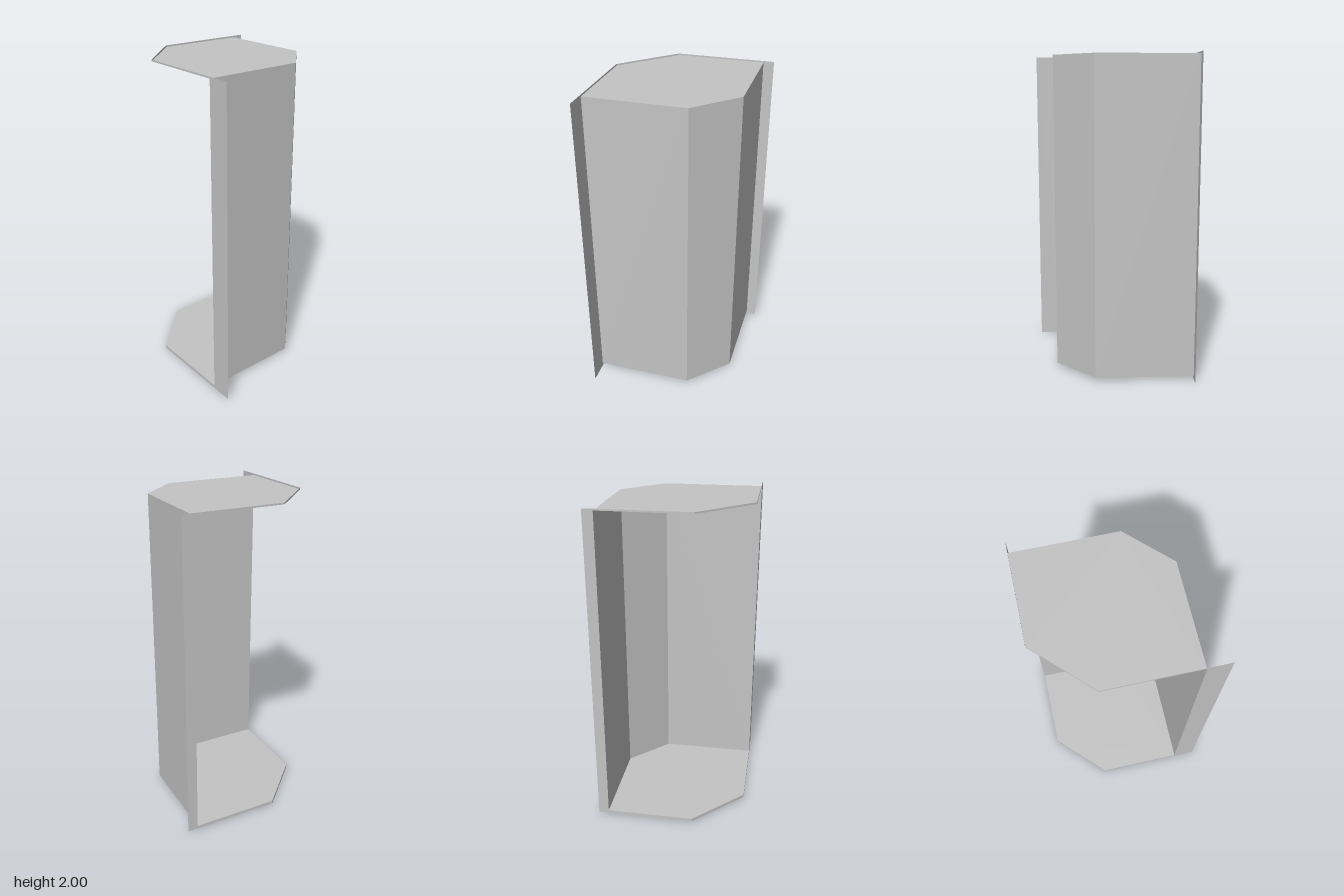
import * as THREE from 'three';

const HEIGHT = 2, FLOOR_Y = 0.02, CEILING_Y = 1.99;

// Plan corners [x, z], running from the back right around to the front right
const BACK_RIGHT = [-0.5, -0.397], BACK_BEVEL = [0.115, -0.397], LEFT_BEVEL = [0.36, -0.153];
const FRONT_LEFT = [0.36, 0.462], FRONT_BEVEL = [-0.19, 0.462], RIGHT_BEVEL = [-0.5, 0.152];
const PLAN = [BACK_RIGHT, BACK_BEVEL, LEFT_BEVEL, FRONT_LEFT, FRONT_BEVEL, RIGHT_BEVEL];

export function createModel() {
  const group = new THREE.Group();
  const metal = new THREE.MeshStandardMaterial({ color: 0xc4c4c4, side: THREE.DoubleSide });
  metal.name = 'grey sheet metal';

  function add(name, geometry) {
    const mesh = new THREE.Mesh(geometry, metal);
    mesh.name = name;
    group.add(mesh);
    return mesh;
  }

  // Upright sheet standing on the plan line a-b; its front looks out of the body
  function panel(name, a, b, y0, y1) {
    const dx = b[0] - a[0], dz = b[1] - a[1];
    const mesh = add(name, new THREE.PlaneGeometry(Math.hypot(dx, dz), y1 - y0));
    mesh.position.set((a[0] + b[0]) / 2, (y0 + y1) / 2, (a[1] + b[1]) / 2);
    mesh.rotation.y = Math.atan2(dz, -dx);
  }

  // Back, bevelled and left walls between the two plates
  panel('backWall', BACK_RIGHT, BACK_BEVEL, FLOOR_Y, CEILING_Y);
  panel('bevelWall', BACK_BEVEL, LEFT_BEVEL, FLOOR_Y, CEILING_Y);
  panel('leftWall', LEFT_BEVEL, FRONT_LEFT, FLOOR_Y, CEILING_Y);

  // Full-height mounting flanges at the free wall edges
  panel('frontFlange', [0.5, 0.462], FRONT_LEFT, 0, HEIGHT);
  panel('backFlange', BACK_RIGHT, [-0.5, -0.462], 0, HEIGHT);

  // Six-sided plates, with folded lips on the three open sides
  const outline = new THREE.Shape(PLAN.map(([x, z]) => new THREE.Vector2(x, -z)));
  const plates = [['bottom', FLOOR_Y, 0, FLOOR_Y], ['top', CEILING_Y, CEILING_Y, HEIGHT]];
  for (const [name, y, lip0, lip1] of plates) {
    const plate = add(name + 'Plate', new THREE.ShapeGeometry(outline));
    plate.rotation.x = -Math.PI / 2;
    plate.position.y = y;
    panel(name + 'FrontLip', FRONT_LEFT, FRONT_BEVEL, lip0, lip1);
    panel(name + 'BevelLip', FRONT_BEVEL, RIGHT_BEVEL, lip0, lip1);
    panel(name + 'RightLip', RIGHT_BEVEL, BACK_RIGHT, lip0, lip1);
  }
  return group;
}
